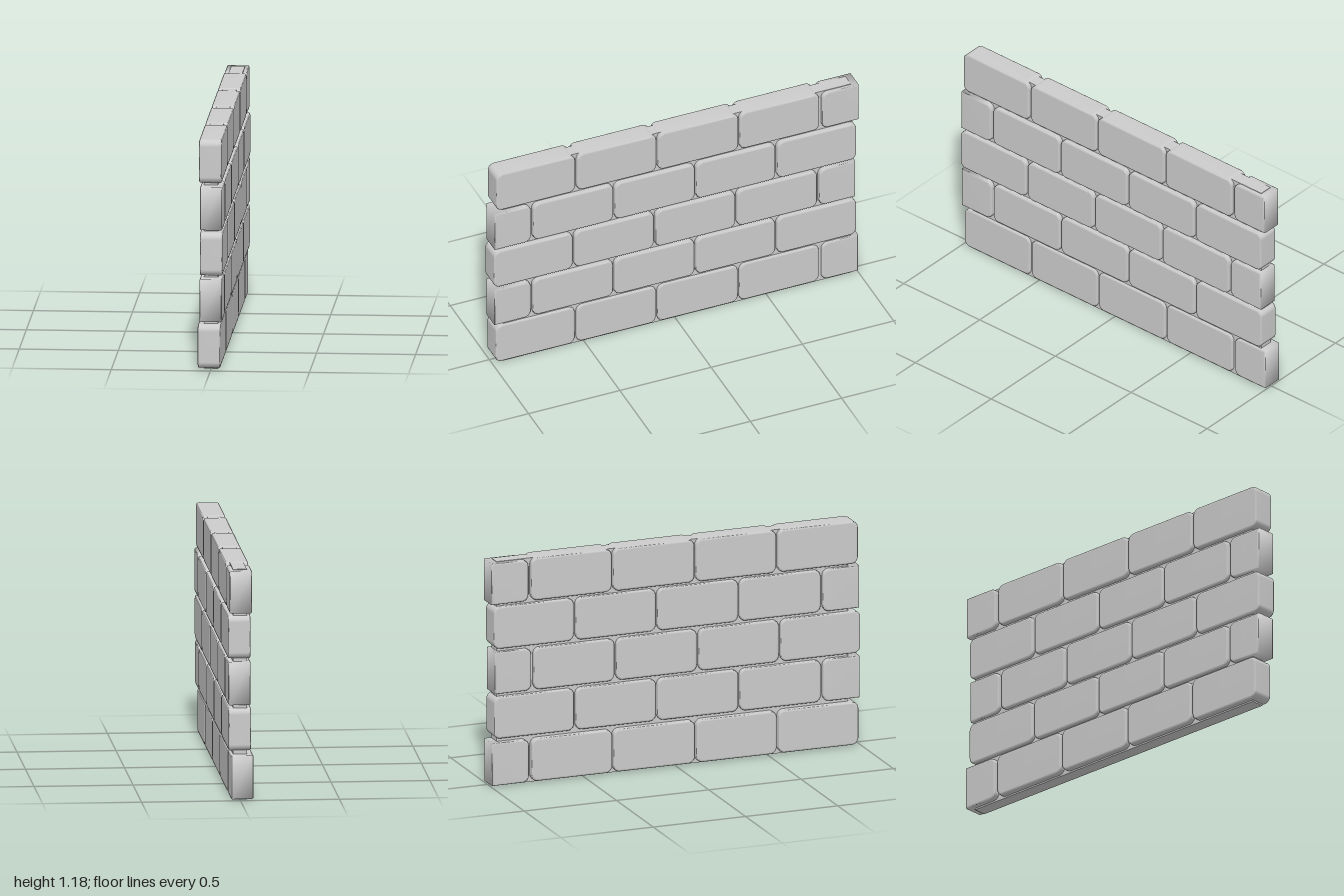
import * as THREE from 'three';
import { mergeVertices } from 'three/addons/utils/BufferGeometryUtils.js';

const material = new THREE.MeshStandardMaterial({ color: 0xcccccc });
const BEVEL = 0.01, EDGE = 0.006, THICK = 0.114;

// Brick outline in (z, y); each end has its own corner radius (0 = cut end)
function brickOutline(z0, z1, y0, y1, rBack, rFront) {
  const s = new THREE.Shape();
  const H = Math.PI / 2;
  const corner = (z, y, dz, dy, r, start) => {
    if (r > 0) s.absarc(z + dz * r, y + dy * r, r, start, start + H, false);
    else s.lineTo(z, y);
  };
  s.moveTo(z0 + rBack, y0);
  s.lineTo(z1 - rFront, y0);
  corner(z1, y0, -1, 1, rFront, -H);
  corner(z1, y1, -1, -1, rFront, 0);
  corner(z0, y1, 1, -1, rBack, H);
  corner(z0, y0, 1, 1, rBack, 2 * H);
  return s;
}

function makeBrick(z0, z1, y0, y1, x, cutBack, cutFront) {
  const r = 0.024;
  const shape = brickOutline(z0 + BEVEL, z1 - BEVEL, y0 + BEVEL, y1 - BEVEL,
    cutBack ? 0 : r, cutFront ? 0 : r);
  let g = new THREE.ExtrudeGeometry(shape, {
    depth: THICK - 2 * EDGE, bevelEnabled: true, bevelThickness: EDGE,
    bevelSize: BEVEL, bevelSegments: 2, curveSegments: 5,
  });
  g.translate(0, 0, -THICK / 2 + EDGE);
  g.rotateY(-Math.PI / 2);
  g.translate(x, 0, 0);
  // Weld so the worn edges shade softly
  g.deleteAttribute('uv');
  g.deleteAttribute('normal');
  g = mergeVertices(g, 1e-4);
  g.computeVertexNormals();
  return new THREE.Mesh(g, material);
}

// Courses from bottom to top: height range, sideways shift, brick ends from front to back
const evenCourse = [[0.985, 0.552], [0.542, 0.107], [0.099, -0.341], [-0.349, -0.785], [-0.8, -1]];
const oddCourse = [[0.995, 0.797], [0.785, 0.346], [0.338, -0.1], [-0.108, -0.542], [-0.552, -0.985]];
const midCourse = [[1, 0.568], [0.558, 0.124], [0.114, -0.322], [-0.332, -0.77], [-0.783, -0.98]];
const courses = [
  { y: [0.008, 0.232], x: -0.009, ends: evenCourse, half: 4 },
  { y: [0.25, 0.47], x: 0.001, ends: oddCourse, half: 0 },
  { y: [0.485, 0.706], x: 0.003, ends: midCourse, half: 4 },
  { y: [0.721, 0.943], x: 0.004, ends: oddCourse, half: 0 },
  { y: [0.957, 1.18], x: -0.002, ends: evenCourse, half: 4 },
];

export function createModel() {
  const wall = new THREE.Group();
  wall.name = 'brickWall';

  // Mortar core showing in the joints
  const mortar = new THREE.Mesh(new THREE.BoxGeometry(0.07, 1.177, 1.905), material);
  mortar.position.set(0, 1.177 / 2, -0.012);
  mortar.name = 'mortarCore';
  wall.add(mortar);

  courses.forEach(({ y, x, ends, half }, row) => {
    const course = new THREE.Group();
    course.name = `course${row + 1}`;
    ends.forEach(([front, back], i) => {
      const isHalf = i === half;
      const top = isHalf && row === 4 ? y[1] - 0.006 : y[1];
      const brick = makeBrick(back, front, y[0], top, x, isHalf && half === 4, isHalf && half === 0);
      brick.name = isHalf ? 'halfBrick' : 'brick';
      course.add(brick);
    });
    wall.add(course);
  });
  return wall;
}
